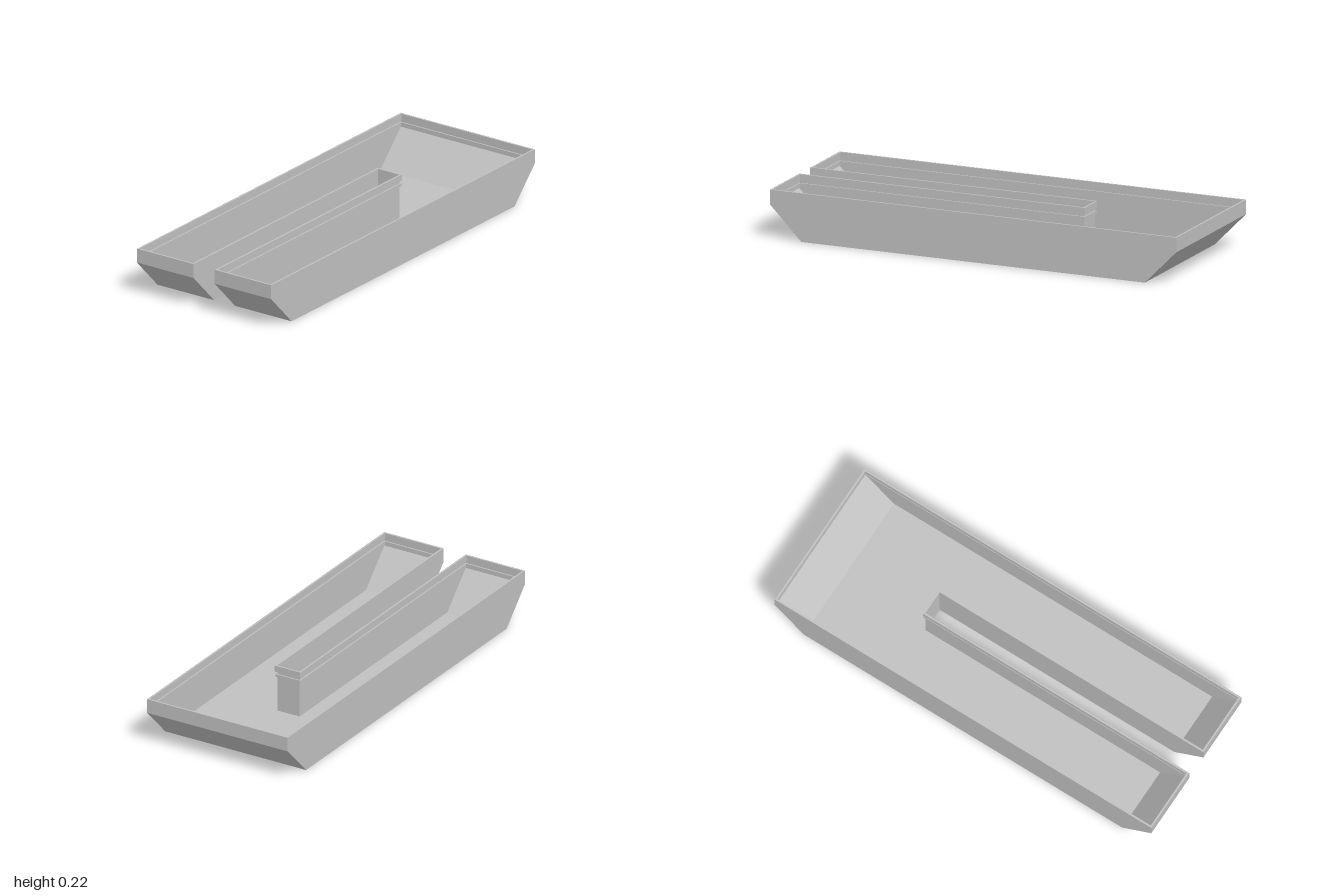
import * as THREE from 'three';

const W = 0.37, SLOT = 0.058, SLOT_END = -0.4; // half width, half slot, slot's inner end
const H = 0.224, CHINE = 0.157, FLAT = 0.845;  // rim height, chine height, half length of flat bottom

export function createModel() {
  const group = new THREE.Group();
  const hullGrey = new THREE.MeshStandardMaterial({ color: 0xc0c0c0, side: THREE.DoubleSide });
  hullGrey.name = 'hullGrey';

  const add = (name, geometry) => {
    const mesh = new THREE.Mesh(geometry, hullGrey);
    mesh.name = name;
    group.add(mesh);
    return mesh;
  };

  // Flat-faced sheet of constant width following [z, y] points
  const strip = (name, x0, x1, points) => {
    const pos = [];
    for (let i = 0; i < points.length - 1; i++) {
      const [z0, y0] = points[i], [z1, y1] = points[i + 1];
      pos.push(x0, y0, z0, x1, y0, z0, x1, y1, z1, x0, y0, z0, x1, y1, z1, x0, y1, z1);
    }
    const g = new THREE.BufferGeometry();
    g.setAttribute('position', new THREE.Float32BufferAttribute(pos, 3));
    g.computeVertexNormals();
    return add(name, g);
  };

  // Upright side sheet from a [z, y] outline
  const panel = (name, x, outline) => {
    const shape = new THREE.Shape(outline.map(([z, y]) => new THREE.Vector2(z, y)));
    const g = new THREE.ShapeGeometry(shape);
    g.rotateY(x > 0 ? -Math.PI / 2 : -Math.PI / 2);
    add(name, g).position.x = x;
  };

  // U-shaped plan outline, moved inwards by d
  const plan = (d) => [
    [-W + d, -1 + d], [-SLOT - d, -1 + d], [-SLOT - d, -SLOT_END + d], [SLOT + d, -SLOT_END + d],
    [SLOT + d, -1 + d], [W - d, -1 + d], [W - d, 1 - d], [-W + d, 1 - d],
  ].map(([x, y]) => new THREE.Vector2(x, y));

  // Ledge running around the inside of the walls
  const ledge = (name, y0, y1, width) => {
    const shape = new THREE.Shape(plan(0.0005));
    shape.holes.push(new THREE.Path(plan(width)));
    const g = new THREE.ExtrudeGeometry(shape, { depth: y1 - y0, bevelEnabled: false });
    g.rotateX(-Math.PI / 2);
    add(name, g).position.y = y0;
  };

  // Bottom with raked ends
  strip('sternBottom', -W, W, [[-1, H], [-1, CHINE], [-FLAT, 0], [SLOT_END, 0]]);
  const bow = [[SLOT_END, 0], [FLAT, 0], [1, CHINE], [1, H]];
  strip('rightBowBottom', -W, -SLOT, bow);
  strip('leftBowBottom', SLOT, W, bow);

  // Walls around the outside and along the slot
  strip('slotEndWall', -SLOT, SLOT, [[SLOT_END, 0], [SLOT_END, H]]);
  for (const [side, s] of [['left', 1], ['right', -1]]) {
    panel(side + 'OuterWall', s * W, [[-1, H], [-1, CHINE], [-FLAT, 0], [FLAT, 0], [1, CHINE], [1, H]]);
    panel(side + 'SlotWall', s * SLOT, [[SLOT_END, H], ...bow]);
  }

  // Stepped rim
  ledge('topRim', 0.195, H, 0.009);
  ledge('lowerLedge', 0.168, 0.182, 0.007);

  return group;
}
